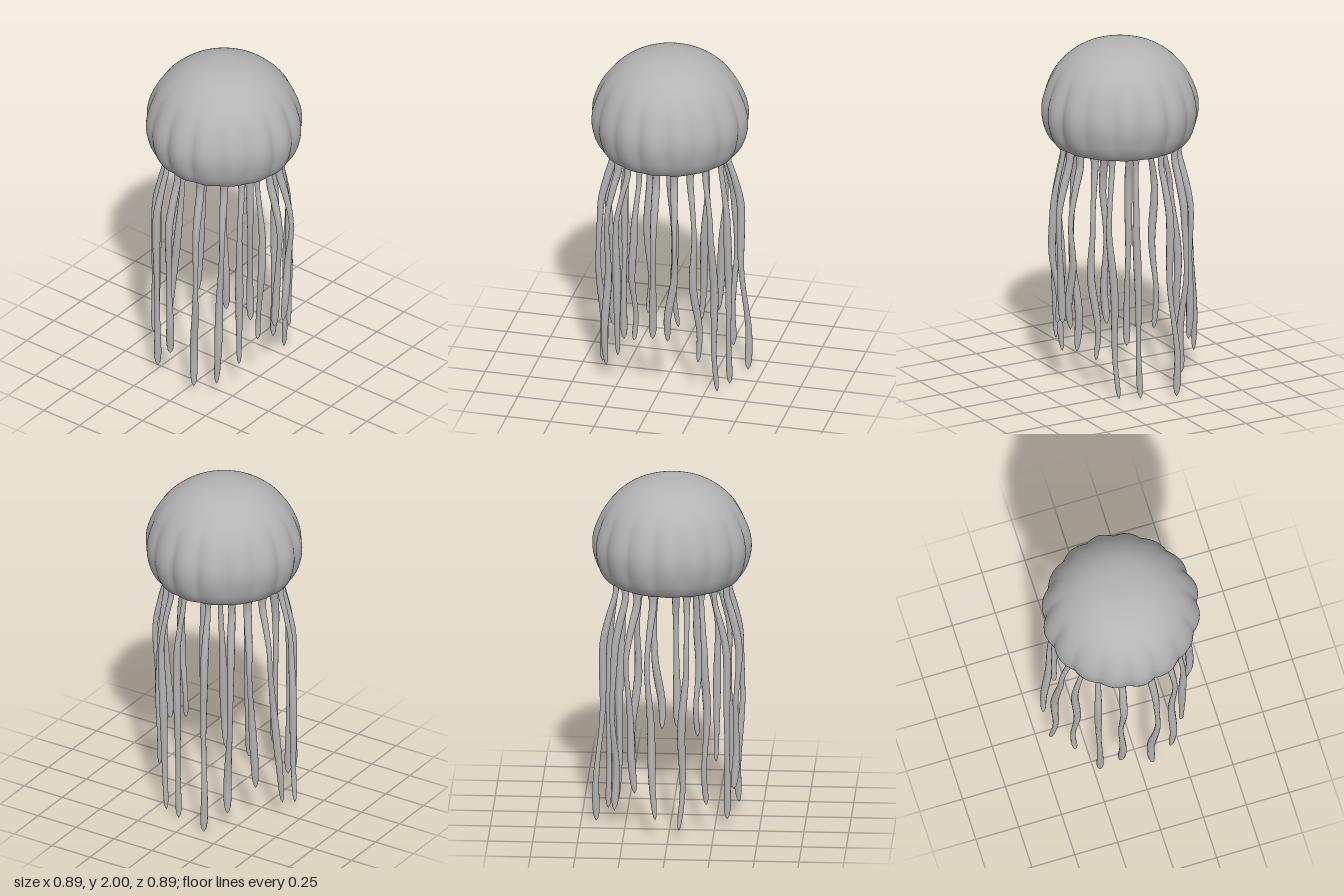
import * as THREE from 'three';
import { mergeVertices } from 'three/addons/utils/BufferGeometryUtils.js';

const skin = new THREE.MeshStandardMaterial({ color: 0xb4b4b4 });
skin.name = 'jelly grey';

// Hollow bell: a lathed shell whose sides are pushed into sixteen lobes
function makeBell() {
  const profile = new THREE.SplineCurve([
    [0, 1.86], [0.15, 1.845], [0.27, 1.77], [0.345, 1.66], [0.345, 1.55], [0.3, 1.46], [0.29, 1.43],
    [0.31, 1.413], [0.35, 1.412], [0.385, 1.43], [0.425, 1.5], [0.445, 1.6], [0.43, 1.7],
    [0.375, 1.815], [0.3, 1.9], [0.21, 1.96], [0.1, 1.994], [0, 2],
  ].map(([r, y]) => new THREE.Vector2(r, y))).getPoints(90);
  profile.forEach((p) => { p.x = Math.max(p.x, 0); });

  const lathe = new THREE.LatheGeometry(profile, 160);
  const pos = lathe.attributes.position;
  for (let i = 0; i < pos.count; i++) {
    const x = pos.getX(i), y = pos.getY(i), z = pos.getZ(i);
    const angle = Math.atan2(x, z);
    const depth = 0.055 * (1 - THREE.MathUtils.smoothstep(y, 1.65, 1.95))
      * (0.45 + 0.55 * THREE.MathUtils.smoothstep(y, 1.41, 1.55));
    const valley = 1 - Math.abs(Math.cos(8 * angle));
    const uneven = 0.8 + 0.2 * Math.cos(4 * angle);
    const k = 1 - depth * valley * uneven - 0.15 * depth * (1 - Math.cos(4 * angle));
    pos.setXYZ(i, x * k, y, z * k);
  }
  lathe.deleteAttribute('normal');
  lathe.deleteAttribute('uv');
  const geometry = mergeVertices(lathe, 1e-4);
  geometry.computeVertexNormals();
  return geometry;
}

// Tentacle: a tube that flares at the rim, swells near the end and closes to a tip
function makeTentacle(rx, rz, mx, mz, tx, tz, ty, index) {
  const sway = 0.012 * Math.sin(index * 2.3);
  const at = (a, b, t) => a + (b - a) * t;
  const y = (t) => at(0.98, ty, t);
  const curve = new THREE.CatmullRomCurve3([
    [rx, 1.435, rz], [rx, 1.34, rz],
    [at(rx, mx, 0.45), 1.22, at(rz, mz, 0.45)],
    [at(rx, mx, 0.9), 1.08, at(rz, mz, 0.9)],
    [mx, 0.98, mz],
    [at(mx, tx, 0.35) + sway, y(0.35), at(mz, tz, 0.35) - sway],
    [at(mx, tx, 0.75) - sway, y(0.75), at(mz, tz, 0.75) + sway],
    [tx, ty, tz],
  ].map((p) => new THREE.Vector3(...p)));

  const rings = 60, sides = 10;
  const geometry = new THREE.TubeGeometry(curve, rings, 1, sides);
  const pos = geometry.attributes.position;
  const v = new THREE.Vector3();
  for (let i = 0; i <= rings; i++) {
    const t = i / rings;
    const centre = curve.getPointAt(t);
    let radius = 0.0185 + 0.004 * Math.sin(t * 9 + index);
    radius += 0.014 * Math.max(0, 1 - t / 0.04);
    if (t > 0.92) radius *= Math.sqrt(Math.max(0, 1 - ((t - 0.92) / 0.08) ** 2));
    for (let j = 0; j <= sides; j++) {
      const n = i * (sides + 1) + j;
      v.fromBufferAttribute(pos, n).sub(centre).multiplyScalar(radius).add(centre);
      pos.setXYZ(n, v.x, v.y, v.z);
    }
  }
  return geometry;
}

export function createModel() {
  const model = new THREE.Group();
  model.name = 'jellyfish';

  const bell = new THREE.Mesh(makeBell(), skin);
  bell.name = 'bell';
  model.add(bell);

  // Each row: root x, z; middle x, z; tip x, z, y
  const rows = [
    [0, 0.32, 0, 0.39, -0.01, 0.36, 0.39],
    [0.10, 0.31, 0.12, 0.38, 0.075, 0.355, 0.38],
    [0.18, 0.26, 0.21, 0.29, 0.23, 0.28, 0.23],
    [0.25, 0.19, 0.29, 0.23, 0.315, 0.18, 0.01],
    [0.31, 0.07, 0.35, 0.09, 0.36, 0.07, 0.01],
    [0.31, -0.09, 0.38, -0.11, 0.415, -0.13, 0.005],
    [0.25, -0.21, 0.31, -0.24, 0.31, -0.22, 0.1],
    [0.18, -0.27, 0.24, -0.32, 0.19, -0.33, 0.24],
    [0.09, -0.31, 0.12, -0.38, 0.07, -0.43, 0.12],
    [-0.10, -0.31, -0.10, -0.38, -0.06, -0.43, 0.06],
    [-0.18, -0.27, -0.20, -0.33, -0.21, -0.33, 0.18],
    [-0.25, -0.21, -0.32, -0.23, -0.32, -0.22, 0.06],
    [-0.31, -0.09, -0.38, -0.10, -0.35, -0.11, 0.2],
    [-0.31, 0.07, -0.38, 0.09, -0.37, 0.07, 0.06],
    [-0.25, 0.19, -0.31, 0.22, -0.32, 0.19, 0.1],
    [-0.18, 0.26, -0.24, 0.29, -0.23, 0.28, 0.22],
    [-0.10, 0.31, -0.12, 0.36, -0.125, 0.33, 0.35],
  ];
  const tentacles = new THREE.Group();
  tentacles.name = 'tentacles';
  rows.forEach((row, i) => {
    const tentacle = new THREE.Mesh(makeTentacle(...row, i), skin);
    tentacle.name = `tentacle${i + 1}`;
    tentacles.add(tentacle);
  });
  model.add(tentacles);
  return model;
}
